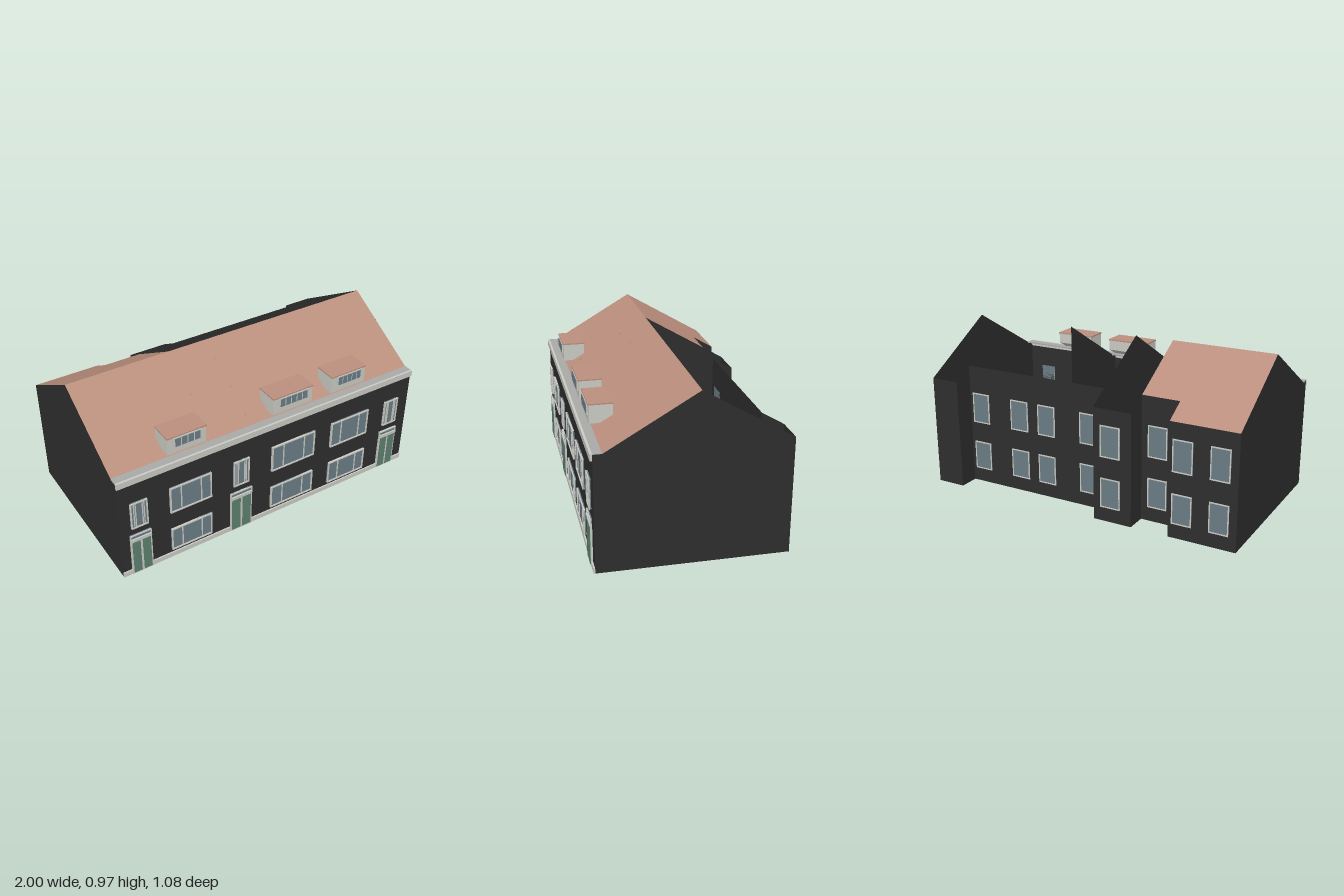
import * as THREE from 'three';

const mat = (name, color, side = THREE.FrontSide) => {
  const m = new THREE.MeshStandardMaterial({ color, side });
  m.name = name;
  return m;
};

// Height of the building envelope at depth z
const RIDGE = -0.03, EAVE = 0.675;
const roofY = z => Math.max(EAVE, 0.97 - 0.584 * Math.abs(z - RIDGE));

export function createModel() {
  const root = new THREE.Group();
  root.name = 'terracedHouses';
  const brick = mat('dark brick', 0x2e2e2e, THREE.DoubleSide);
  const tile = mat('roof tile', 0xbb8f7e);
  const trim = mat('pale trim', 0xcbcbc5);
  const gutterGrey = mat('gutter grey', 0xa9a9a7);
  const glass = mat('window glass', 0x6b7c85);
  const green = mat('door green', 0x5c8070);

  const add = (parent, name, geo, material) => {
    const m = new THREE.Mesh(geo, material);
    m.name = name;
    parent.add(m);
    return m;
  };
  const group = (name, parent = root) => {
    const g = new THREE.Group();
    g.name = name;
    parent.add(g);
    return g;
  };
  // Box given by its limits on each axis
  const box = (parent, name, material, x0, x1, y0, y1, z0, z1) => {
    const m = add(parent, name, new THREE.BoxGeometry(x1 - x0, y1 - y0, z1 - z0), material);
    m.position.set((x0 + x1) / 2, (y0 + y1) / 2, (z0 + z1) / 2);
    return m;
  };
  // Surface from four-cornered faces, corners counter-clockwise
  const quads = list => {
    const pos = [];
    for (const [a, b, c, d] of list) pos.push(...a, ...b, ...c, ...a, ...c, ...d);
    const g = new THREE.BufferGeometry();
    g.setAttribute('position', new THREE.Float32BufferAttribute(pos, 3));
    g.computeVertexNormals();
    return g;
  };
  // Wall panels that rise from the ground to the roof line
  const wallGeo = path => quads(path.slice(1).map(([x, z], i) => {
    const [px, pz] = path[i];
    return [[px, 0, pz], [x, 0, z], [x, roofY(z), z], [px, roofY(pz), pz]];
  }));

  // Outer walls follow the stepped footprint
  const F = 0.525, B = -0.535, M = -0.41, K = 0.475;
  const footprint = [
    [-1, F], [1, F], [1, K], [1, RIDGE], [1, B], [0.82, B], [0.82, M], [-0.13, M], [-0.13, B],
    [-0.37, B], [-0.37, M], [-0.6, M], [-0.6, B], [-1, B], [-1, RIDGE], [-1, K], [-1, F],
  ];
  add(root, 'outerWalls', wallGeo(footprint), brick);
  const floor = new THREE.Shape(footprint.slice(0, -1).map(([x, z]) => new THREE.Vector2(x, z)));
  add(root, 'floor', new THREE.ShapeGeometry(floor).rotateX(Math.PI / 2), brick);

  // Party walls between the houses
  for (const [x, back] of [[-0.37, M], [-0.13, M], [0.32, RIDGE]]) {
    const path = [[x, F], [x, K], [x, RIDGE]];
    if (back !== RIDGE) path.push([x, back]);
    add(root, 'partyWall', wallGeo(path), brick);
  }

  // Roof: whole front slope, stepped rear slope over one house
  add(root, 'frontRoof', quads([
    [[-1, EAVE, K], [1, EAVE, K], [1, 0.97, RIDGE], [-1, 0.97, RIDGE]],
  ]), tile);
  const rear = (x0, x1, z) =>
    [[x1, roofY(z), z], [x0, roofY(z), z], [x0, 0.97, RIDGE], [x1, 0.97, RIDGE]];
  add(root, 'rearRoof', quads([rear(-1, -0.6, B), rear(-0.6, -0.37, M)]), tile);

  // Gutter, cornice and plinth
  box(root, 'gutter', gutterGrey, -1, 1, 0.668, 0.677, 0.475, 0.525);
  box(root, 'cornice', trim, -1, 1, 0.64, 0.678, 0.525, 0.538);
  box(root, 'plinth', trim, -1, 1, 0, 0.03, 0.525, 0.534);

  // Framed window; cuts are mullion positions across the width
  const makeWindow = (name, x0, x1, y0, y1, z, depth, dir, cuts = [], bar = 0.008, parent = root) => {
    const g = group(name, parent);
    const span = d => (dir > 0 ? [z, z + d] : [z - d, z]);
    box(g, 'pane', glass, x0, x1, y0, y1, ...span(depth * 0.5));
    box(g, 'sill', trim, x0, x1, y0, y0 + bar, ...span(depth));
    box(g, 'head', trim, x0, x1, y1 - bar, y1, ...span(depth));
    box(g, 'jamb', trim, x0, x0 + bar, y0, y1, ...span(depth));
    box(g, 'jamb', trim, x1 - bar, x1, y0, y1, ...span(depth));
    for (const c of cuts) {
      const x = x0 + (x1 - x0) * c;
      box(g, 'mullion', trim, x - bar * 0.4, x + bar * 0.4, y0, y1, ...span(depth * 0.85));
    }
    return g;
  };

  // Wide front windows on both floors
  for (const [x0, x1] of [[-0.692, -0.428], [-0.022, 0.282], [0.403, 0.682]])
    for (const [y0, y1] of [[0.052, 0.208], [0.33, 0.507]])
      makeWindow('wideWindow', x0, x1, y0, y1, F, 0.013, 1, [0.27, 0.75]);

  // Doors with a transom, each below a narrow window
  for (const [x, w] of [[-0.88, 0.13], [-0.23, 0.145], [0.864, 0.13]]) {
    const half = w / 2;
    makeWindow('narrowWindow', x - 0.052, x + 0.052, 0.33, 0.507, F, 0.013, 1, [0.2, 0.3, 0.7, 0.8], 0.007);
    const door = group('frontDoor');
    box(door, 'doorFrame', trim, x - half, x + half, 0, 0.24, F, 0.536);
    for (const s of [-1, 1]) {
      const c = x + s * (half / 2 - 0.001);
      box(door, 'doorLeaf', green, c - half / 2 + 0.008, c + half / 2 - 0.008, 0.008, 0.232, 0.536, 0.539);
    }
    box(door, 'doorHead', trim, x - half, x + half, 0.24, 0.255, F, 0.54);
    makeWindow('transom', x - half, x + half, 0.247, 0.283, F, 0.013, 1, [], 0.006, door);
  }

  // Dormers: wedge sided body, flat tiled top, row of small panes
  for (const [x0, x1, panes] of [[-0.673, -0.433, 4], [0.003, 0.273, 5], [0.412, 0.658, 5]]) {
    const g = group('dormer');
    const side = new THREE.Shape([[0.49, 0.7], [0.49, 0.803], [0.36, 0.803], [0.36, 0.74], [0.434, 0.7]]
      .map(([z, y]) => new THREE.Vector2(-z, y)));
    const body = new THREE.ExtrudeGeometry(side, { depth: x1 - x0, bevelEnabled: false });
    add(g, 'dormerBody', body.rotateY(Math.PI / 2), trim).position.x = x0;
    box(g, 'dormerTop', tile, x0 - 0.002, x1 + 0.002, 0.803, 0.811, 0.357, 0.495);
    const a = x0 + 0.043, b = x1 - 0.037, step = (b - a) / panes;
    box(g, 'dormerFrame', trim, a - 0.006, b + 0.006, 0.738, 0.8, 0.49, 0.497);
    for (let i = 0; i < panes; i++)
      box(g, 'dormerPane', glass, a + i * step + 0.004, a + (i + 1) * step - 0.004, 0.745, 0.795, 0.497, 0.501);
  }

  // Rear windows on both floors
  const rearWindows = [
    [-0.955, -0.84, B], [-0.74, -0.62, B], [-0.53, -0.41, M], [-0.3, -0.175, B],
    [-0.085, 0.035, M], [0.205, 0.325, M], [0.395, 0.52, M], [0.68, 0.8, M],
  ];
  for (const [x0, x1, z] of rearWindows)
    for (const [y0, y1] of [[0.085, 0.265], [0.39, 0.58]])
      makeWindow('rearWindow', x0, x1, y0, y1, z, 0.005, -1, [], 0.007);

  return root;
}
